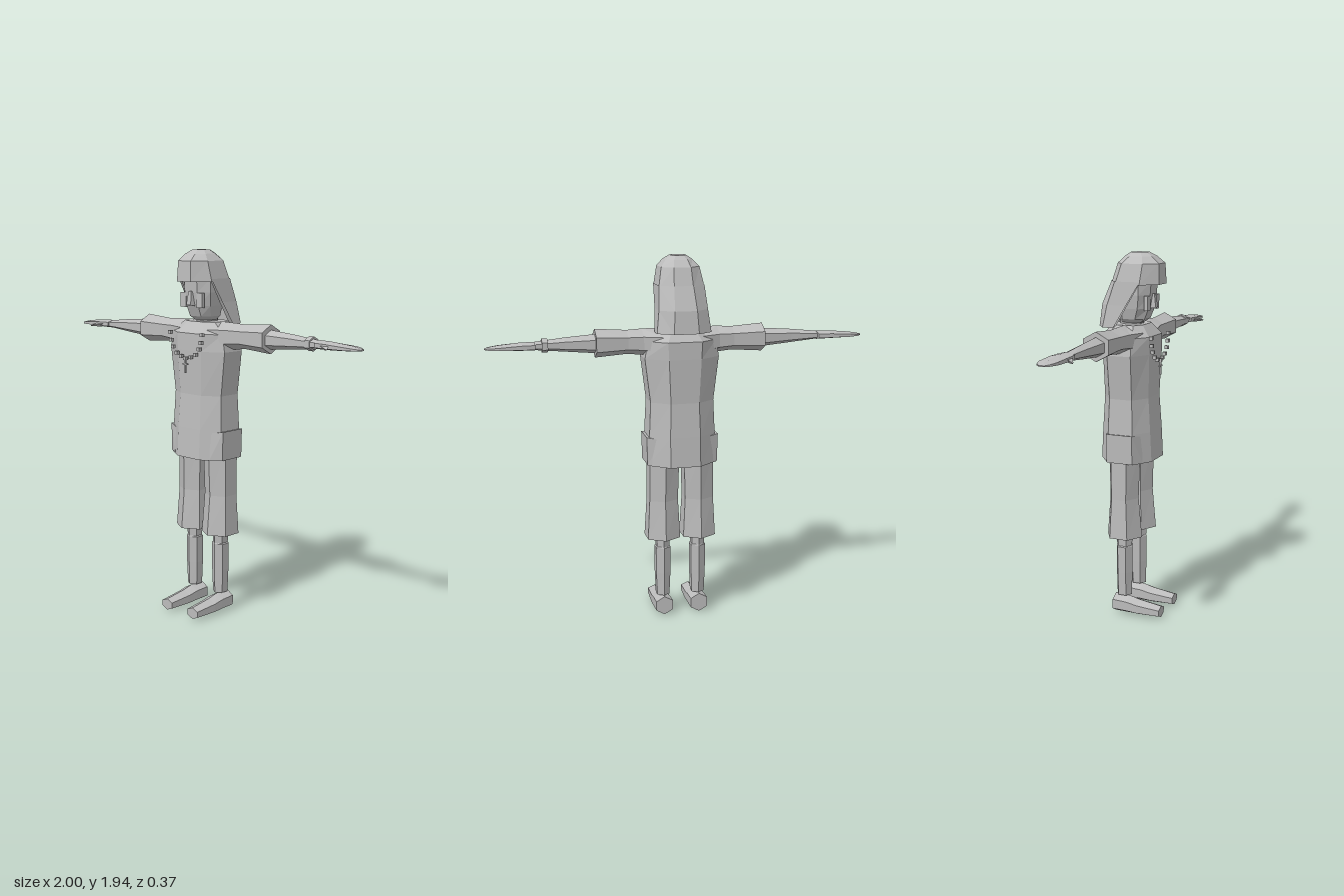
import * as THREE from 'three';

const grey = new THREE.MeshStandardMaterial({ color: 0xbcbcbc, flatShading: true, side: THREE.DoubleSide });
grey.name = 'plain grey';

// Skin a list of cross-sections; solid shapes are turned outward by their signed volume
function loft(name, rings, { capA = true, capB = true, closed = true } = {}) {
  const tris = [], n = rings[0].length;
  for (let i = 0; i < rings.length - 1; i++) {
    for (let j = 0; j < (closed ? n : n - 1); j++) {
      const k = (j + 1) % n, a = rings[i], b = rings[i + 1];
      tris.push([a[j], a[k], b[k]], [a[j], b[k], b[j]]);
    }
  }
  const last = rings[rings.length - 1];
  for (let j = 1; j < n - 1; j++) {
    if (capA) tris.push([rings[0][0], rings[0][j + 1], rings[0][j]]);
    if (capB) tris.push([last[0], last[j], last[j + 1]]);
  }
  const mid = new THREE.Vector3();
  rings.flat().forEach(p => mid.add(new THREE.Vector3(...p)));
  mid.divideScalar(n * rings.length);
  let volume = 0;
  for (const t of tris) {
    const [a, b, c] = t.map(p => new THREE.Vector3(...p).sub(mid));
    volume += a.dot(b.cross(c));
  }
  if (volume < 0) tris.forEach(t => t.reverse());
  const geo = new THREE.BufferGeometry();
  geo.setAttribute('position', new THREE.Float32BufferAttribute(tris.flat(2), 3));
  geo.computeVertexNormals();
  return named(name, geo);
}

function named(name, geo, x = 0, y = 0, z = 0) {
  const mesh = new THREE.Mesh(geo, grey);
  mesh.name = name;
  mesh.position.set(x, y, z);
  return mesh;
}

const box = (name, w, h, d, x, y, z) => named(name, new THREE.BoxGeometry(w, h, d), x, y, z);

// Level octagon: half width, front z, back z, half width of front panel, z of the side corners
const octagon = (y, w, zf, zb, fw, s1, s2) => [
  [fw, y, zf], [w, y, s1], [w, y, s2], [fw, y, zb],
  [-fw, y, zb], [-w, y, s2], [-w, y, s1], [-fw, y, zf]];

// Hexagon outline: six (u, v) pairs with points up and down v
const hexagon = (u, v, ru, rv) => [[u, v + rv], [u + ru, v + rv / 2], [u + ru, v - rv / 2],
  [u, v - rv], [u - ru, v - rv / 2], [u - ru, v + rv / 2]];
const hexX = (x, y, ry, z, rz) => hexagon(z, y, rz, ry).map(([a, b]) => [x, b, a]);
const hexY = (y, x, rx, z, rz) => hexagon(x, z, rx, rz).map(([a, b]) => [a, y, b]);
const hexZ = (z, x, rx, y, ry) => hexagon(x, y, rx, ry).map(([a, b]) => [a, b, z]);

function addArm(g, s, side) {
  const arm = new THREE.Group();
  arm.name = side + 'Arm';
  arm.add(loft('sleeve', [
    hexX(s * 0.10, 1.505, 0.075, -0.02, 0.1),
    hexX(s * 0.2, 1.51, 0.068, -0.018, 0.068),
    hexX(s * 0.28, 1.512, 0.062, -0.02, 0.06),
    hexX(s * 0.445, 1.512, 0.074, -0.022, 0.068)]));
  arm.add(loft('forearm', [
    hexX(s * 0.43, 1.51, 0.05, -0.022, 0.048),
    hexX(s * 0.6, 1.511, 0.036, -0.018, 0.036),
    hexX(s * 0.76, 1.51, 0.02, -0.018, 0.028)]));
  arm.add(loft('hand', [
    hexX(s * 0.75, 1.51, 0.022, -0.025, 0.045),
    hexX(s * 0.82, 1.51, 0.021, -0.022, 0.05),
    hexX(s * 0.93, 1.507, 0.014, -0.022, 0.048),
    hexX(s * 0.975, 1.505, 0.009, -0.022, 0.034),
    hexX(s, 1.504, 0.004, -0.02, 0.012)]));
  arm.add(loft('thumb', [
    [[s * 0.765, 1.515, 0.012], [s * 0.835, 1.515, 0.018], [s * 0.81, 1.492, 0.016]],
    [[s * 0.85, 1.502, 0.062], [s * 0.856, 1.502, 0.06], [s * 0.853, 1.497, 0.06]]]));
  g.add(arm);
}

function addLeg(g, s, side) {
  const leg = new THREE.Group();
  leg.name = side + 'Leg', leg;
  const x = s * 0.097;
  leg.add(loft('shortsLeg', [
    hexY(0.445, x, 0.088, -0.026, 0.1),
    hexY(0.66, x, 0.077, -0.028, 0.082),
    hexY(0.92, s * 0.093, 0.08, -0.028, 0.09)], { capA: false }));
  leg.add(loft('shin', [
    hexY(0.11, x, 0.034, -0.028, 0.042),
    hexY(0.24, x, 0.039, -0.028, 0.046),
    hexY(0.385, x, 0.04, -0.028, 0.047),
    hexY(0.39, x, 0.034, -0.028, 0.044),
    hexY(0.6, x, 0.04, -0.028, 0.05)]));
  leg.add(loft('shoe', [
    hexZ(-0.08, x, 0.046, 0.055, 0.052),
    hexZ(0, x, 0.046, 0.052, 0.05),
    hexZ(0.06, x, 0.045, 0.044, 0.043),
    hexZ(0.187, x, 0.037, 0.037, 0.031)]));
  g.add(leg);
}

function addHead(g) {
  const head = new THREE.Group();
  head.name = 'head';
  head.add(loft('neck', [octagon(1.53, 0.05, 0.03, -0.08, 0.025, 0, -0.05),
    octagon(1.66, 0.05, 0.03, -0.08, 0.025, 0, -0.05)]));
  head.add(loft('face', [
    octagon(1.585, 0.05, 0.035, -0.07, 0.03, 0.0, -0.04),
    octagon(1.605, 0.07, 0.062, -0.08, 0.04, 0.02, -0.05),
    octagon(1.66, 0.085, 0.085, -0.09, 0.042, 0.04, -0.05),
    octagon(1.73, 0.095, 0.095, -0.09, 0.045, 0.05, -0.05),
    octagon(1.80, 0.095, 0.1, -0.09, 0.045, 0.05, -0.05)]));
  head.add(loft('nose', [
    [[-0.02, 1.66, 0.08], [0.02, 1.66, 0.08], [0.016, 1.665, 0.114], [-0.016, 1.665, 0.114]],
    [[-0.014, 1.735, 0.08], [0.014, 1.735, 0.08], [0.01, 1.735, 0.104], [-0.01, 1.735, 0.104]]]));
  for (const s of [-1, 1]) {
    head.add(box('cheek', 0.04, 0.075, 0.02, s * 0.058, 1.69, 0.085));
  }
  // Crown and fringe
  head.add(loft('hairCap', [
    octagon(1.785, 0.12, 0.147, -0.12, 0.05, 0.065, -0.07),
    octagon(1.89, 0.1, 0.142, -0.085, 0.045, 0.075, -0.04),
    octagon(1.925, 0.07, 0.1, -0.05, 0.035, 0.06, -0.01),
    octagon(1.945, 0.04, 0.065, -0.022, 0.02, 0.04, 0.0)]));
  // Long hair hanging around the sides and back, outer skin then inner skin
  const curtain = (y, w, zFront, zSide, zBack, bw, t = 0) => {
    const half = [[w - t, y, zFront], [w - t, y, zSide], [bw - t, y, zBack + t]];
    return [...half, ...half.slice().reverse().map(([a, b, c]) => [-a, b, c])];
  };
  head.add(loft('longHair', [
    curtain(1.80, 0.119, 0.068, -0.07, -0.118, 0.05),
    curtain(1.68, 0.128, -0.005, -0.11, -0.168, 0.058),
    curtain(1.565, 0.142, -0.07, -0.13, -0.182, 0.065),
    curtain(1.565, 0.142, -0.07, -0.13, -0.182, 0.065, 0.025),
    curtain(1.68, 0.128, -0.005, -0.11, -0.168, 0.058, 0.02),
    curtain(1.80, 0.119, 0.068, -0.07, -0.118, 0.05, 0.01),
  ], { capA: false, capB: false, closed: false }));
  g.add(head);
}

function addNecklace(g) {
  const necklace = new THREE.Group();
  necklace.name = 'necklace';
  const beads = [[0.115, 1.52], [0.109, 1.48], [0.095, 1.446], [0.068, 1.416], [0.034, 1.4]];
  for (const [x, y] of beads) {
    for (const s of [-1, 1]) necklace.add(box('bead', 0.018, 0.018, 0.018, s * x, y, 0.132));
  }
  necklace.add(box('bead', 0.018, 0.018, 0.018, 0, 1.392, 0.135));
  necklace.add(box('pendantPost', 0.008, 0.066, 0.008, 0, 1.35, 0.137));
  necklace.add(box('pendantBar', 0.036, 0.008, 0.008, 0, 1.363, 0.137));
  g.add(necklace);
}

export function createModel() {
  const g = new THREE.Group();
  g.name = 'figure';
  // Long loose shirt
  g.add(loft('shirt', [
    octagon(0.862, 0.184, 0.12, -0.166, 0.08, 0.055, -0.088),
    octagon(1.02, 0.176, 0.112, -0.158, 0.08, 0.052, -0.085),
    octagon(1.2, 0.168, 0.1, -0.148, 0.075, 0.045, -0.08),
    octagon(1.43, 0.196, 0.108, -0.154, 0.085, 0.05, -0.08),
    octagon(1.52, 0.18, 0.108, -0.154, 0.09, 0.05, -0.085),
    octagon(1.578, 0.11, 0.06, -0.11, 0.06, 0.03, -0.07)]));
  for (const [s, side] of [[1, 'left'], [-1, 'right']]) {
    addArm(g, s, side);
    addLeg(g, s, side);
    g.add(loft(side + 'Pocket', [
      [[s * 0.13, 0.866, 0.09], [s * 0.188, 0.866, 0.055], [s * 0.188, 0.866, -0.09], [s * 0.13, 0.866, -0.12]],
      [[s * 0.12, 1.005, 0.085], [s * 0.192, 1.016, 0.055], [s * 0.192, 1.016, -0.09], [s * 0.12, 1.005, -0.12]]]));
  }
  // Band on the left wrist
  g.add(loft('wristband', [hexX(0.685, 1.511, 0.036, -0.022, 0.036), hexX(0.715, 1.511, 0.036, -0.022, 0.036)]));
  addHead(g);
  addNecklace(g);
  return g;
}
